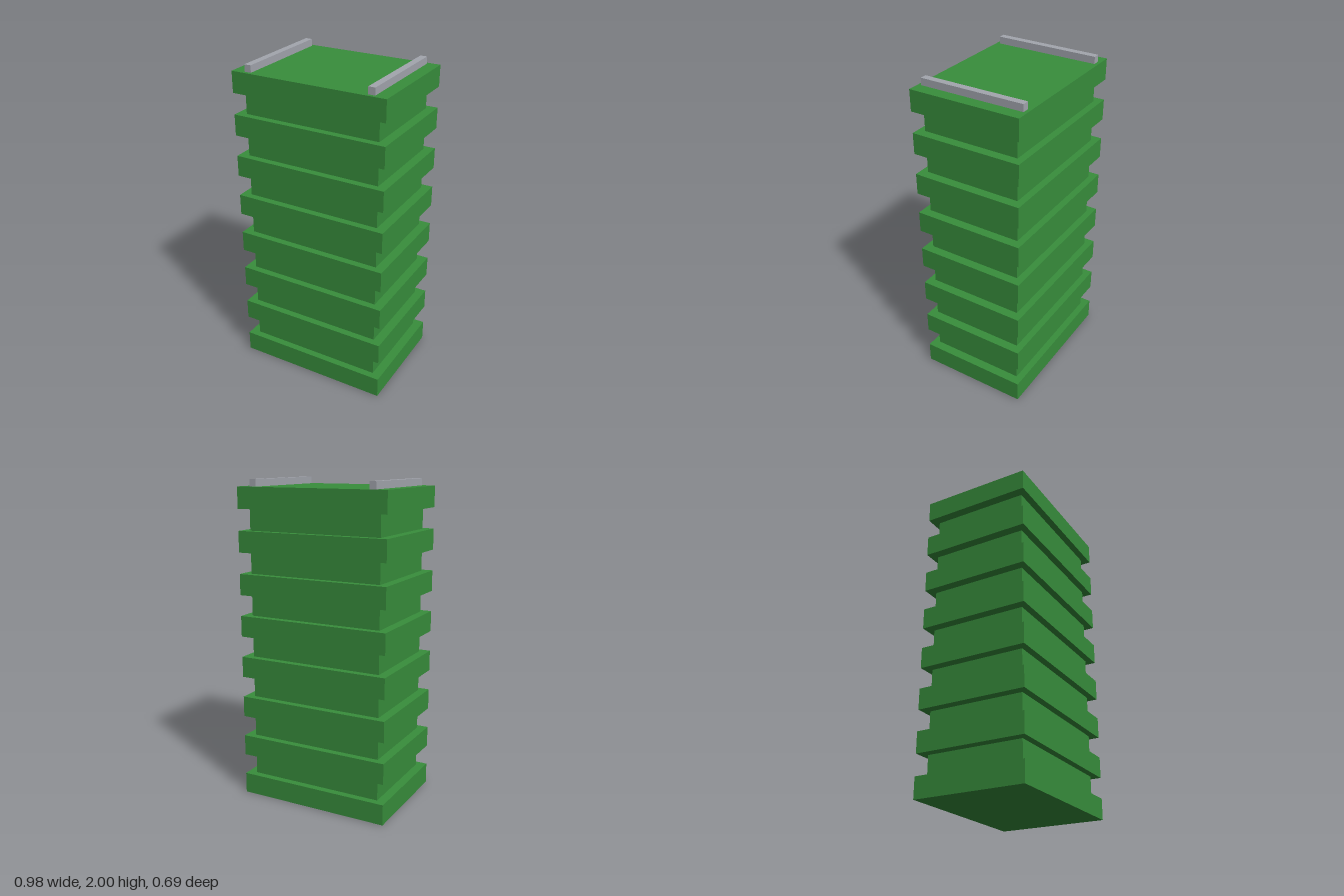
import * as THREE from 'three';

export function createModel() {
  const model = new THREE.Group();
  model.name = 'ribbedTower';

  const green = new THREE.MeshStandardMaterial({ color: 0x388e3c });
  green.name = 'green';
  const grey = new THREE.MeshStandardMaterial({ color: 0xa3a6ae });
  grey.name = 'railGrey';

  const layers = 15;
  const bodyHeight = 1.957;
  const layerHeight = bodyHeight / layers;

  // Adds a box standing on height y
  function addBox(name, material, width, height, depth, x, y) {
    const mesh = new THREE.Mesh(new THREE.BoxGeometry(width, height, depth), material);
    mesh.name = name;
    mesh.position.set(x, y + height / 2, 0);
    model.add(mesh);
  }

  // Alternating wide ribs and narrow necks
  for (let i = 0; i < layers; i++) {
    const y = i * layerHeight;
    if (i % 2 === 0) addBox(`rib${i / 2 + 1}`, green, 0.978, layerHeight, 0.694, 0, y);
    else addBox(`neck${(i + 1) / 2}`, green, 0.864, layerHeight, 0.608, 0, y);
  }

  // Pair of rails on the top face
  for (const side of [-1, 1]) {
    addBox(side > 0 ? 'leftRail' : 'rightRail', grey, 0.042, 2 - bodyHeight, 0.652, side * 0.391, bodyHeight);
  }

  return model;
}
